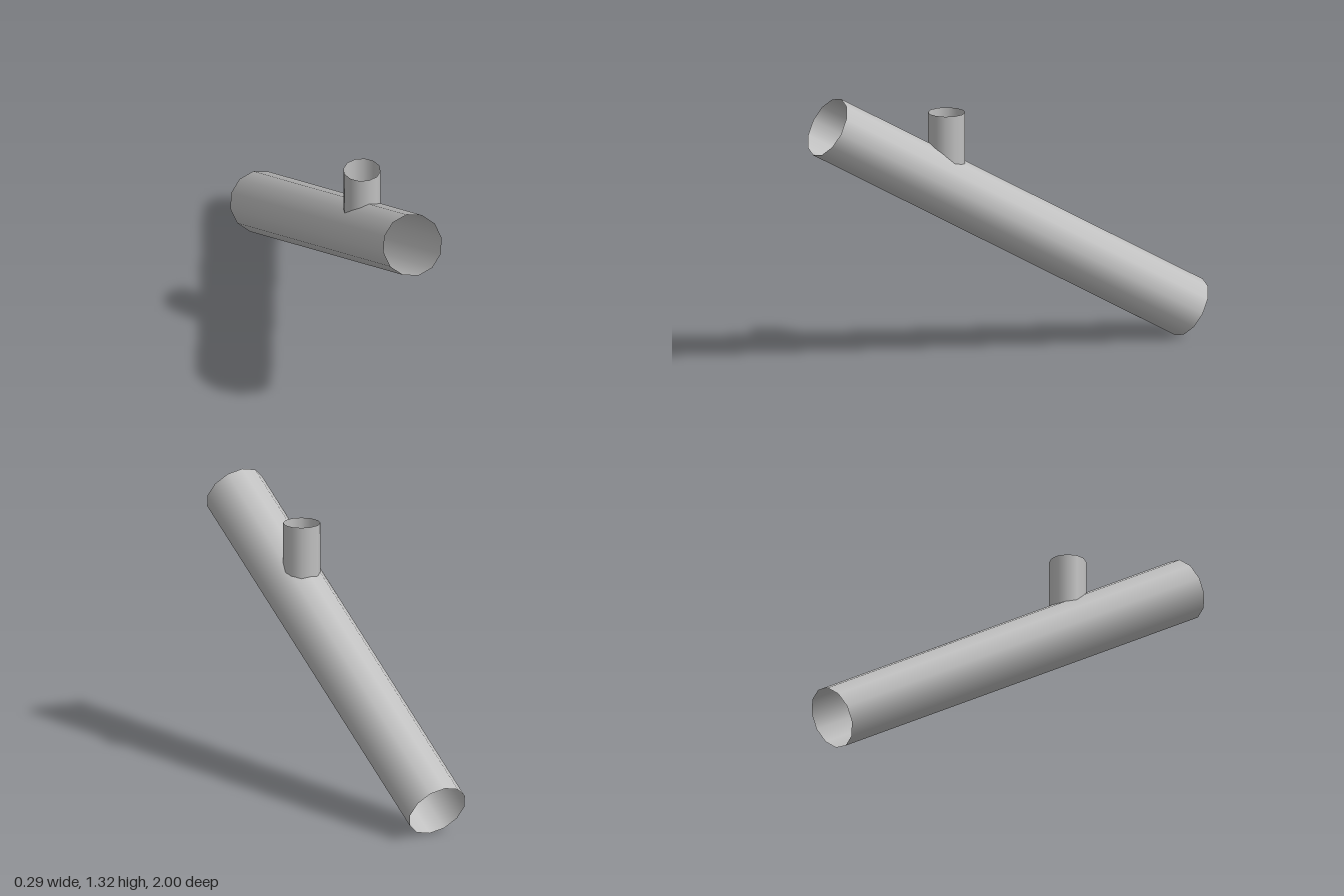
import * as THREE from 'three';

const SIDES = 12;
const SLOPE = Math.PI / 6;
const MAIN = { radius: 0.1445, length: 2.142, y: 0.664 };
const BRANCH = { radius: 0.086, z: 0.315, top: 1.2 };

// Height of the sloped pipe's faceted upper surface above a point (x, z)
function mainSurfaceY(x, z) {
  const step = (2 * Math.PI) / SIDES;
  const apothem = MAIN.radius * Math.cos(step / 2);
  let h = Infinity;
  for (let i = 0; i < SIDES / 4; i++) {
    const a = (i + 0.5) * step;
    h = Math.min(h, (apothem - Math.abs(x) * Math.sin(a)) / Math.cos(a));
  }
  return MAIN.y + z * Math.tan(SLOPE) + h / Math.cos(SLOPE);
}

export function createModel() {
  const group = new THREE.Group();
  const grey = new THREE.MeshStandardMaterial({ color: 0xc0c0c0, side: THREE.DoubleSide });
  grey.name = 'light grey';

  // Sloped open pipe, high end at the front
  const mainPipe = new THREE.Mesh(
    new THREE.CylinderGeometry(MAIN.radius, MAIN.radius, MAIN.length, SIDES, 1, true), grey);
  mainPipe.name = 'mainPipe';
  mainPipe.rotation.x = Math.PI / 2 - SLOPE;
  mainPipe.position.y = MAIN.y;
  group.add(mainPipe);

  // Upright open branch, its lower rim trimmed to the sloped pipe
  const geo = new THREE.CylinderGeometry(BRANCH.radius, BRANCH.radius, 1, SIDES, 1, true);
  const p = geo.attributes.position;
  for (let i = 0; i < p.count; i++) {
    const x = p.getX(i), z = p.getZ(i) + BRANCH.z;
    p.setXYZ(i, x, p.getY(i) > 0 ? BRANCH.top : mainSurfaceY(x, z) - 0.004, z);
  }
  const branchPipe = new THREE.Mesh(geo, grey);
  branchPipe.name = 'branchPipe';
  group.add(branchPipe);

  return group;
}
